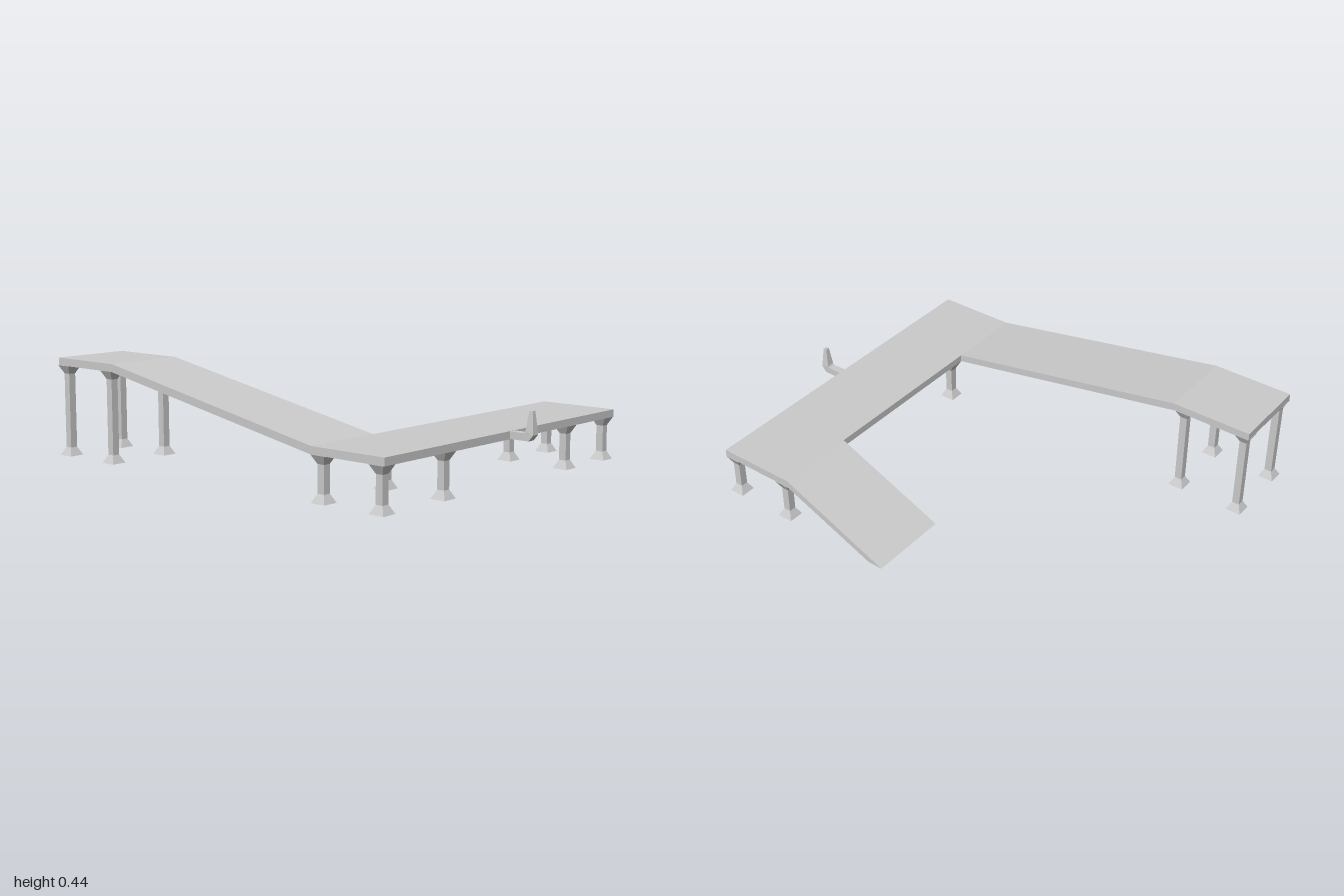
import * as THREE from 'three';

const material = new THREE.MeshStandardMaterial({ color: 0xcccccc, flatShading: true });

function addMesh(parent, name, geometry) {
  const mesh = new THREE.Mesh(geometry, material);
  mesh.name = name;
  parent.add(mesh);
  return mesh;
}

// Side profile in x/y, extruded from z0 to z1
function slab(points, z0, z1) {
  const shape = new THREE.Shape(points.map(([x, y]) => new THREE.Vector2(x, y)));
  return new THREE.ExtrudeGeometry(shape, { depth: z1 - z0, bevelEnabled: false }).translate(0, 0, z0);
}

// Square post with flared foot and cap
function pillar(height) {
  const wide = 0.035 * Math.SQRT2, thin = 0.0165 * Math.SQRT2, flare = 0.036;
  const profile = [[0, 0], [wide, 0], [thin, flare], [thin, height - flare], [wide, height], [0, height]];
  return new THREE.LatheGeometry(profile.map(([r, y]) => new THREE.Vector2(r, y)), 4, Math.PI / 4);
}

// Rectangular sections [inner x, inner y, outer x, outer y, half width] joined in a bar
function sectionBar(sections, zc) {
  const positions = [], index = [];
  for (const [ix, iy, ox, oy, w] of sections)
    positions.push(ix, iy, zc + w, ix, iy, zc - w, ox, oy, zc - w, ox, oy, zc + w);
  const last = (sections.length - 1) * 4;
  for (let s = 0; s < last; s += 4)
    for (let k = 0; k < 4; k++) {
      const a = s + k, b = s + (k + 1) % 4;
      index.push(a, a + 4, b, b, a + 4, b + 4);
    }
  index.push(0, 1, 2, 0, 2, 3, last, last + 2, last + 1, last, last + 3, last + 2);
  const geometry = new THREE.BufferGeometry();
  geometry.setAttribute('position', new THREE.Float32BufferAttribute(positions, 3));
  geometry.setIndex(index);
  const flat = geometry.toNonIndexed();
  flat.computeVertexNormals();
  return flat;
}

export function createModel() {
  const model = new THREE.Group();
  model.name = 'walkway';

  // Decks: raised end with long slope, level platform, ramp to the ground
  addMesh(model, 'slopedDeck', slab(
    [[-1, 0.403], [-0.64, 0.403], [0.525, 0.187], [0.525, 0.22], [-0.635, 0.437], [-1, 0.437]], 0.418, 0.778));
  addMesh(model, 'platform', slab(
    [[0.525, 0.187], [0.888, 0.187], [0.888, 0.22], [0.525, 0.22]], -0.778, 0.778));
  addMesh(model, 'ramp', slab(
    [[0.015, 0], [0.085, 0], [0.525, 0.187], [0.525, 0.22]], -0.778, -0.418));

  // Pillars in groups of four
  const groups = [
    { name: 'tallPillar', height: 0.403, xs: [-0.967, -0.676], zs: [0.745, 0.455] },
    { name: 'frontPillar', height: 0.187, xs: [0.56, 0.85], zs: [0.745, 0.382] },
    { name: 'backPillar', height: 0.187, xs: [0.56, 0.85], zs: [-0.455, -0.745] },
  ];
  for (const { name, height, xs, zs } of groups) {
    const geometry = pillar(height);
    for (const x of xs) for (const z of zs) addMesh(model, name, geometry).position.set(x, 0, z);
  }

  // Hook on the platform's outer edge
  addMesh(model, 'hook', sectionBar([
    [0.887, 0.219, 0.887, 0.188, 0.0175],
    [0.955, 0.219, 0.977, 0.188, 0.0175],
    [0.961, 0.226, 0.999, 0.214, 0.0175],
    [0.973, 0.31, 0.989, 0.31, 0.009],
  ], -0.018));

  return model;
}
